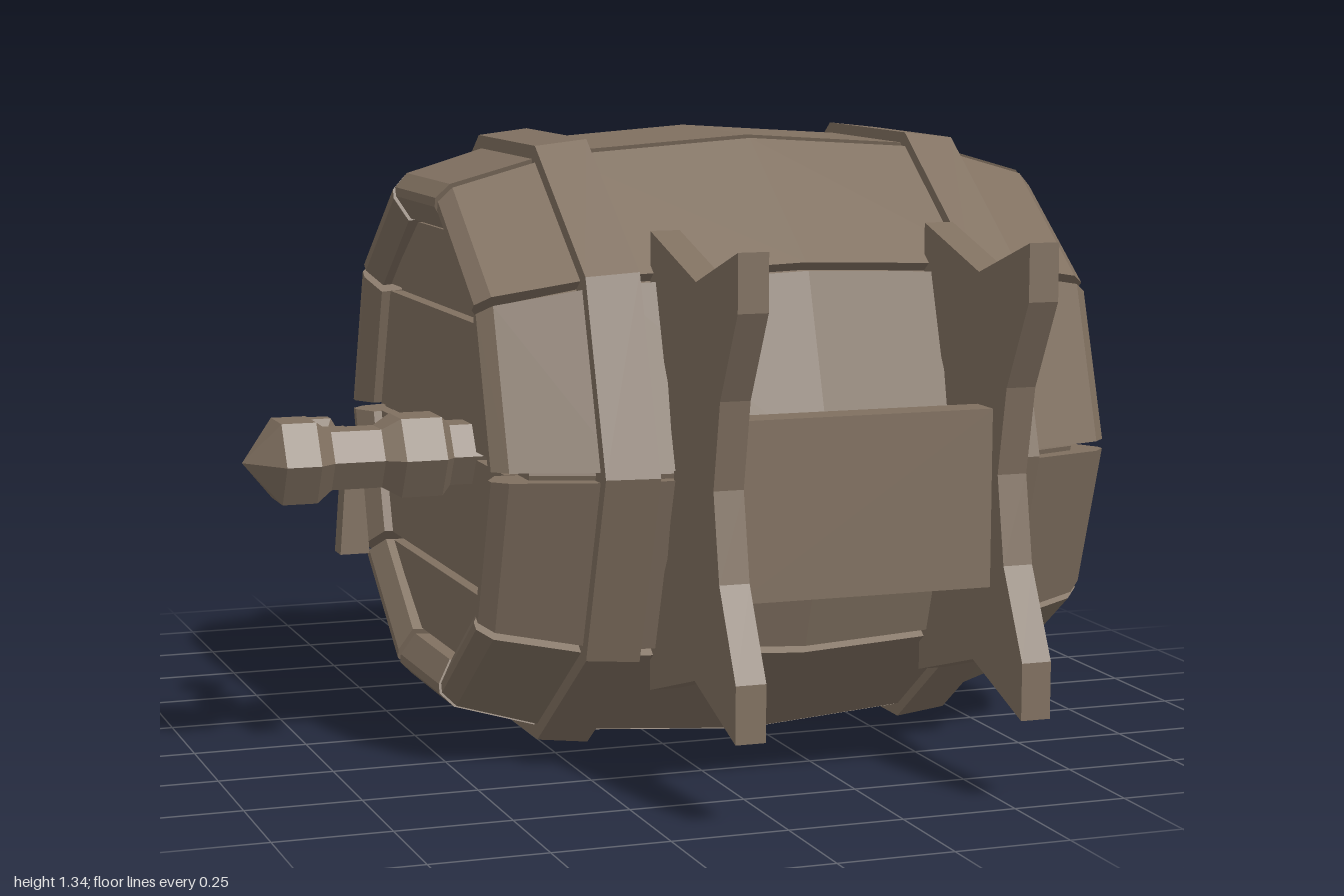
import * as THREE from 'three';

const wood = new THREE.MeshStandardMaterial({ color: 0x807060 });
wood.name = 'weathered wood';

const AXIS = [0.22, 0.677, -0.03]; // barrel centre
const T18 = Math.tan(Math.PI / 10), C18 = Math.cos(Math.PI / 10);

function part(name, geometry, x = 0, y = 0, z = 0) {
  const flat = geometry.index ? geometry.toNonIndexed() : geometry;
  flat.computeVertexNormals(); // faceted look
  const mesh = new THREE.Mesh(flat, wood);
  mesh.name = name;
  mesh.position.set(x, y, z);
  return mesh;
}

// Faceted turned piece, profile as [radius, distance along y]
function turned(profile, sides, start = 0) {
  return new THREE.LatheGeometry(profile.map(([r, d]) => new THREE.Vector2(r, d)), sides, start);
}

function extruded(points, depth, holes = []) {
  const toV = (p) => new THREE.Vector2(p[0], p[1]);
  const shape = new THREE.Shape(points.map(toV));
  holes.forEach((h) => shape.holes.push(new THREE.Path(h.map(toV))));
  return new THREE.ExtrudeGeometry(shape, { depth, bevelEnabled: false });
}

// Sections along the barrel: [x, outer apothem, inner apothem]
const HALF = [[0, 0.67, 0.52], [0.44, 0.64, 0.5], [0.67, 0.575, 0.475], [0.7, 0.545, 0.525]];
const SECTIONS = [...HALF.slice(1).reverse().map(([x, o, i]) => [-x, o, i]), ...HALF];

// One top stave, lofted through four-cornered cross-sections
function staveGeometry() {
  const gap = 0.011, pos = [], index = [];
  for (const [x, o, i] of SECTIONS) {
    const wo = o * T18 - gap, wi = i * T18 - gap;
    pos.push(x, o, -wo, x, o, wo, x, i, wi, x, i, -wi);
  }
  const n = SECTIONS.length;
  for (let s = 0; s < n - 1; s++) {
    for (let k = 0; k < 4; k++) {
      const a = s * 4 + k, b = s * 4 + (k + 1) % 4;
      index.push(a, b, b + 4, a, b + 4, a + 4);
    }
  }
  const e = (n - 1) * 4;
  index.push(0, 2, 1, 0, 3, 2, e, e + 1, e + 2, e, e + 2, e + 3);
  const g = new THREE.BufferGeometry();
  g.setAttribute('position', new THREE.Float32BufferAttribute(pos, 3));
  g.setIndex(index);
  return g;
}

function createBarrel() {
  const barrel = new THREE.Group();
  barrel.name = 'barrel';
  barrel.position.set(...AXIS);

  // Ten separate staves with narrow gaps
  for (let i = 0; i < 10; i++) {
    const stave = part('stave', staveGeometry());
    stave.rotation.x = i * Math.PI / 5;
    barrel.add(stave);
  }

  // Core closing the gaps
  const core = [[0, -0.62], [0.55, -0.62], [0.61, -0.44], [0.64, 0], [0.61, 0.44], [0.55, 0.62], [0, 0.62]];
  barrel.add(part('core', turned(core.map(([a, d]) => [a / C18, d]), 10).rotateZ(-Math.PI / 2)));

  // Hoops
  for (const side of [-1, 1]) {
    const ring = [[0.59, 0.375], [0.59, 0.49], [0.655, 0.49], [0.668, 0.375], [0.59, 0.375]]
      .map(([a, d]) => [a / C18, side * d]);
    if (side > 0) ring.reverse();
    barrel.add(part('hoop', turned(ring, 10).rotateZ(-Math.PI / 2)));
  }

  // Four planks in each head, one with a split in the grain
  const levels = [[0.155, 0.475], [0.405, 0.294], [0.5, 0], [0.405, -0.294], [0.155, -0.475]];
  const split = [[-0.43, -0.145], [0.42, -0.21], [0.42, -0.08]];
  for (const side of [-1, 1]) {
    for (let i = 0; i < 4; i++) {
      const [wt, yt] = levels[i], [wb, yb] = levels[i + 1];
      const top = yt - 0.009, bottom = yb + 0.009;
      const holes = side > 0 && i === 2 ? [split] : [];
      const g = extruded([[-wb, bottom], [wb, bottom], [wt, top], [-wt, top]], 0.035, holes);
      g.translate(0, 0, side > 0 ? 0.615 : -0.65).rotateY(Math.PI / 2);
      barrel.add(part('headPlank', g));
    }
  }
  const [tip, low, high] = split.map(([u, v]) => [u, v, 0.65]);
  const keel = [0.42, -0.14, 0.622];
  const groove = new THREE.BufferGeometry();
  groove.setAttribute('position', new THREE.Float32BufferAttribute(
    [tip, keel, high, tip, low, keel, low, high, keel].flat(), 3));
  barrel.add(part('grainSplit', groove.rotateY(Math.PI / 2)));
  return barrel;
}

function createTaps() {
  const taps = new THREE.Group();
  taps.name = 'taps';

  // Side tap pointing to -x
  const body = [[0, -0.2], [0.075, -0.2], [0.075, 0], [0.098, 0.02], [0.098, 0.11], [0.072, 0.15],
    [0.072, 0.26], [0.1, 0.295], [0.1, 0.37], [0, 0.445]];
  taps.add(part('sideTap', turned(body, 6).rotateZ(Math.PI / 2), -0.48, 0.677, 0.195));

  // Turning handle pointing to -z
  const handle = [[0, -0.02], [0.036, -0.02], [0.036, 0.07], [0.052, 0.085], [0.052, 0.125], [0.038, 0.14],
    [0.026, 0.16], [0.026, 0.22], [0.052, 0.24], [0.052, 0.275], [0.03, 0.3], [0, 0.3]];
  taps.add(part('tapHandle', turned(handle, 6, Math.PI / 2).rotateX(-Math.PI / 2), -0.69, 0.677, 0.16));

  // Flared spout below the side tap
  const spout = extruded([[-0.032, -0.205], [0.032, -0.205], [0.019, -0.03], [-0.019, -0.03]], 0.05);
  taps.add(part('spout', spout.translate(0, 0, -0.025), -0.688, 0.677, 0.195));

  // Bung at the back pointing to -z
  const bung = [[0, -0.1], [0.105, -0.1], [0.105, 0.08], [0.085, 0.1], [0.085, 0.135],
    [0.122, 0.17], [0.115, 0.24], [0, 0.3]];
  taps.add(part('bung', turned(bung, 6, Math.PI / 2).rotateX(-Math.PI / 2), 0.22, 0.677, -0.7));
  return taps;
}

function createStand() {
  const stand = new THREE.Group();
  stand.name = 'stand';

  // Upper half of the leg outline as [z, height from the middle], then mirrored
  const upper = [[0.87, 0], [0.905, 0.185], [1, 0.37], [1, 0.49], [0.765, 0.41], [0.49, 0.49], [0.49, 0.37], [0.6, 0.185], [0.64, 0]];
  const lower = upper.slice(1, -1).reverse().map(([z, y]) => [z, -y]);
  for (const x of [-0.0825, 0.5425]) {
    const g = extruded([...upper, ...lower], 0.065).translate(0, 0, -0.0325).rotateY(-Math.PI / 2);
    stand.add(part('standLeg', g, x, 0.68, 0));
  }
  stand.add(part('crossBoard', new THREE.BoxGeometry(0.57, 0.375, 0.075), 0.23, 0.627, 0.805));
  return stand;
}

export function createModel() {
  const model = new THREE.Group();
  model.name = 'barrelOnStand';
  model.add(createBarrel(), createTaps(), createStand());
  return model;
}
